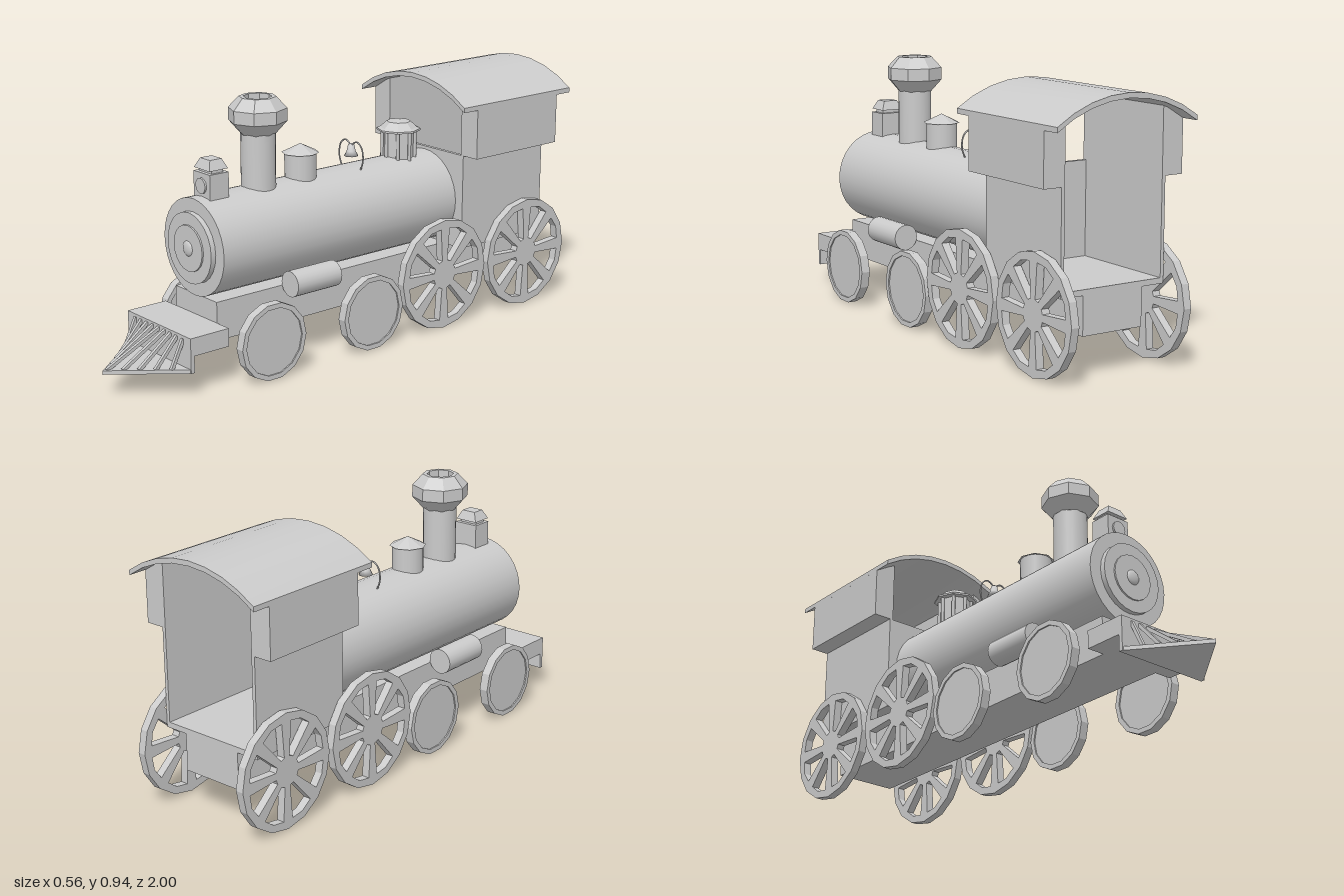
import * as THREE from 'three';
import { toCreasedNormals } from 'three/addons/utils/BufferGeometryUtils.js';

const mat = new THREE.MeshStandardMaterial({ color: 0xcccccc });
const flat = new THREE.MeshStandardMaterial({ color: 0xcccccc, flatShading: true });

export function createModel() {
  const root = new THREE.Group();
  root.name = 'steamLocomotive';

  function add(name, geo, x = 0, y = 0, z = 0, material = mat, parent = root) {
    const mesh = new THREE.Mesh(geo, material);
    mesh.name = name;
    mesh.position.set(x, y, z);
    parent.add(mesh);
    return mesh;
  }
  // box given by its limits on each axis
  const box = (name, x0, x1, y0, y1, z0, z1) =>
    add(name, new THREE.BoxGeometry(x1 - x0, y1 - y0, z1 - z0), (x0 + x1) / 2, (y0 + y1) / 2, (z0 + z1) / 2);
  const cylZ = (r, len, seg) => new THREE.CylinderGeometry(r, r, len, seg).rotateX(Math.PI / 2);
  const lathe = (pts, seg) => new THREE.LatheGeometry(pts.map(p => new THREE.Vector2(...p)), seg);
  const shapeOf = pts => new THREE.Shape(pts.map(p => new THREE.Vector2(...p)));
  const extrude = (shape, depth) => new THREE.ExtrudeGeometry(shape, { depth, bevelEnabled: false });
  const polygon = (r, n) => Array.from({ length: n }, (_, i) =>
    [r * Math.cos(i / n * 2 * Math.PI), r * Math.sin(i / n * 2 * Math.PI)]);

  // chassis and front platform
  box('frame', -0.12, 0.12, 0.145, 0.285, -0.895, 0.61);
  box('frontPlatform', -0.187, 0.187, 0.145, 0.21, 0.61, 0.765);

  // boiler with stepped front door
  add('boiler', cylZ(0.174, 1.085, 32), 0, 0.455, 0.0725);
  add('boilerDoor', cylZ(0.127, 0.02, 24), 0, 0.455, 0.624);
  add('boilerDoorPlate', cylZ(0.083, 0.01, 20), 0, 0.455, 0.635);
  add('doorKnob', new THREE.SphereGeometry(0.028, 16, 10).scale(1, 1, 0.4), 0, 0.455, 0.638);

  // pilot: backing plate, pointed base and sloping bars
  box('pilotPlate', -0.187, 0.187, 0.085, 0.21, 0.755, 0.77);
  const base = extrude(shapeOf([[-0.187, -0.765], [0.187, -0.765], [0, -1]].reverse()), 0.014);
  add('pilotBase', base.rotateX(-Math.PI / 2), 0, 0.085, 0);
  for (let i = -4; i <= 4; i++) {
    const x = i * 0.035;
    const from = new THREE.Vector3(x, 0.198, 0.768);
    const to = new THREE.Vector3(x, 0.097, 0.985 - Math.abs(x) / 0.187 * 0.225);
    const bar = add('pilotBar', new THREE.BoxGeometry(0.012, 0.012, from.distanceTo(to)));
    bar.position.copy(from).lerp(to, 0.5);
    bar.lookAt(to);
  }

  // headlamp
  box('headlampBody', -0.047, 0.047, 0.6, 0.712, 0.495, 0.575);
  box('headlampNeck', -0.036, 0.036, 0.71, 0.726, 0.51, 0.56);
  const cap = new THREE.CylinderGeometry(0.028 * Math.SQRT2, 0.045 * Math.SQRT2, 0.034, 4, 1).rotateY(Math.PI / 4);
  add('headlampCap', cap.scale(1, 1, 0.88), 0, 0.741, 0.535, flat);
  add('headlampLens', cylZ(0.028, 0.012, 12), 0, 0.667, 0.576);

  // chimney with faceted flare and open top
  add('chimneyPipe', new THREE.CylinderGeometry(0.062, 0.062, 0.24, 20), 0, 0.71, 0.33);
  add('chimneyFlare', lathe([[0.001, 0.815], [0.064, 0.815], [0.104, 0.86], [0.104, 0.905],
    [0.066, 0.945], [0.05, 0.945], [0.05, 0.87], [0.001, 0.87]], 8), 0, 0, 0.33, flat);

  // sand dome
  add('sandDome', new THREE.CylinderGeometry(0.058, 0.058, 0.13, 16), 0, 0.65, 0.14);
  add('sandDomeLid', new THREE.ConeGeometry(0.068, 0.033, 8), 0, 0.731, 0.14, flat);

  // bell hanging from a curled wire
  const half = [[0.045, 0.6], [0.066, 0.655], [0.058, 0.7], [0.033, 0.718], [0.012, 0.71]];
  const wire = [...half.map(([x, y]) => [-x, y]), [0, 0.7], ...half.slice().reverse()]
    .map(([x, y]) => new THREE.Vector3(x, y, 0));
  add('bellWire', new THREE.TubeGeometry(new THREE.CatmullRomCurve3(wire), 40, 0.003, 6), 0, 0, -0.1);
  add('bell', lathe([[0.001, 0.662], [0.026, 0.662], [0.017, 0.68], [0.012, 0.702], [0.001, 0.71]], 12), 0, 0, -0.1);

  // steam dome with corner posts
  add('steamDome', new THREE.CylinderGeometry(0.058, 0.058, 0.13, 8), 0, 0.665, -0.335, flat);
  for (const [x, z] of polygon(0.061, 8))
    add('steamDomePost', new THREE.CylinderGeometry(0.007, 0.007, 0.13, 6), x, 0.665, z - 0.335);
  add('steamDomeLid', lathe([[0.001, 0.724], [0.082, 0.724], [0.082, 0.731], [0.07, 0.736],
    [0.045, 0.758], [0.001, 0.763]], 8), 0, 0, -0.335, flat);

  // cab: floor, front wall, side walls with overhanging upper blocks
  box('cabFloor', -0.205, 0.205, 0.28, 0.3, -0.895, -0.47);
  box('cabFrontWall', -0.205, 0.205, 0.28, 0.64, -0.485, -0.47);
  const wall = [[0.197, 0.28], [0.21, 0.28], [0.21, 0.64], [0.28, 0.64], [0.28, 0.828], [0.197, 0.874]];
  for (const s of [-1, 1])
    add('cabSideWall', extrude(shapeOf(wall.map(([x, y]) => [s * x, y])), 0.425), 0, 0, -0.895);

  // arched roof
  const arc = [];
  for (let i = 0; i <= 8; i++) {
    const a = (i / 4 - 1) * 0.622;
    arc.push([0.481 * Math.sin(a), 0.452 + 0.481 * Math.cos(a)]);
  }
  const under = arc.map(([x, y]) => [x, y - 0.018]).reverse();
  add('cabRoof', toCreasedNormals(extrude(shapeOf([...arc, ...under]), 0.565), 0.5), 0, 0, -0.965);

  // spoked driving wheel: rim polygon with wedge openings
  const driver = shapeOf(polygon(0.21, 16));
  for (let i = 0; i < 8; i++) {
    const a = (i + 0.5) * Math.PI / 4;
    const at = (r, d) => new THREE.Vector2(r * Math.cos(a + d), r * Math.sin(a + d));
    driver.holes.push(new THREE.Path([at(0.055, -0.16), at(0.055, 0.16), at(0.178, 0.27), at(0.183, 0), at(0.178, -0.27)]));
  }
  const driverGeo = extrude(driver, 0.03).translate(0, 0, -0.015).rotateY(Math.PI / 2);

  // small wheel: raised rim around a recessed disc
  const ring = shapeOf(polygon(0.14, 14));
  ring.holes.push(new THREE.Path(polygon(0.122, 14).map(p => new THREE.Vector2(...p))));
  const rimGeo = extrude(ring, 0.034).translate(0, 0, -0.017).rotateY(Math.PI / 2);
  const discGeo = extrude(shapeOf(polygon(0.125, 14)), 0.024).translate(0, 0, -0.012).rotateY(Math.PI / 2);

  for (const s of [-1, 1]) {
    for (const z of [-0.353, -0.79]) add('drivingWheel', driverGeo, s * 0.228, 0.211, z);
    for (const z of [0.457, 0]) {
      add('smallWheelRim', rimGeo, s * 0.228, 0.14, z);
      add('smallWheelDisc', discGeo, s * 0.228, 0.14, z);
    }
    add('sideCylinder', cylZ(0.047, 0.2, 20), s * 0.166, 0.3, 0.225);
  }
  return root;
}
